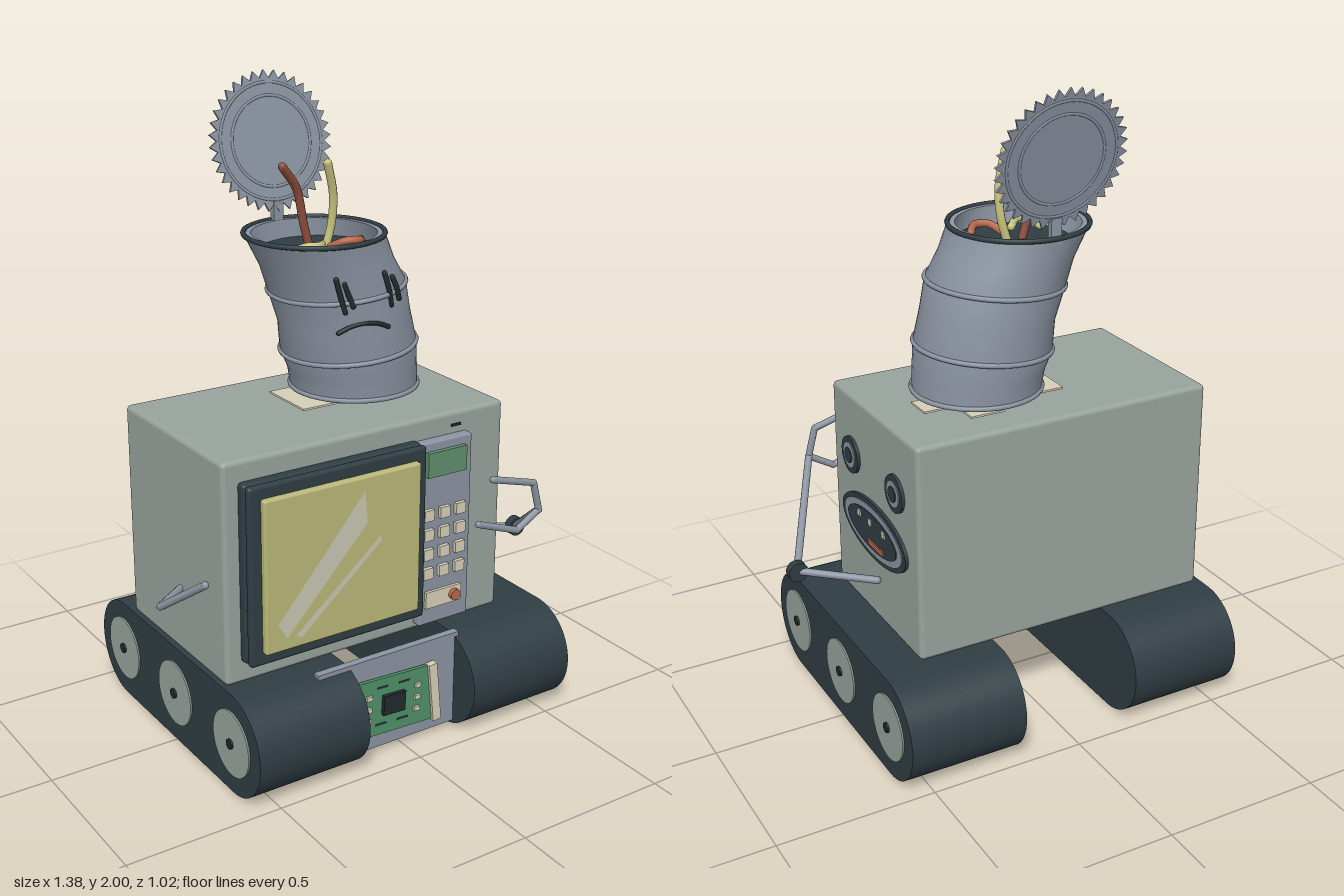
import * as THREE from 'three';
import { toCreasedNormals } from 'three/addons/utils/BufferGeometryUtils.js';
import { RoundedBoxGeometry } from 'three/addons/geometries/RoundedBoxGeometry.js';

const V = (x, y, z) => new THREE.Vector3(x, y, z);
const mat = (color) => new THREE.MeshStandardMaterial({ color });
const M = {
  shell: mat(0x98a39d), dark: mat(0x2f3d43), steel: mat(0x8b94a2), black: mat(0x22282c),
  glass: mat(0xbab878), glare: mat(0xc9c8b4), green: mat(0x5f8f6b), board: mat(0x4f9068),
  beige: mat(0xd6cfb8), red: mat(0xb4674a), wire: mat(0xc9c57e), copper: mat(0x91503c),
};

export function createModel() {
  const root = new THREE.Group();
  const add = (name, geo, m, x = 0, y = 0, z = 0, parent = root) => {
    const mesh = new THREE.Mesh(geo, m);
    mesh.name = name;
    mesh.position.set(x, y, z);
    parent.add(mesh);
    return mesh;
  };
  // Box given by its extents
  const box = (name, m, x0, x1, y0, y1, z0, z1, r = 0) => {
    const s = [x1 - x0, y1 - y0, z1 - z0];
    const g = r ? new RoundedBoxGeometry(...s, 3, r) : new THREE.BoxGeometry(...s);
    return add(name, g, m, (x0 + x1) / 2, (y0 + y1) / 2, (z0 + z1) / 2);
  };
  // Disc facing sideways, stretched to ry by rz
  const sideDisc = (name, m, ry, rz, depth, x, y, z) => {
    const g = new THREE.CylinderGeometry(1, 1, depth, 40).rotateZ(Math.PI / 2).scale(1, ry, rz);
    return add(name, g, m, x, y, z);
  };
  // Straight rods joined by balls
  const rods = (name, pts, r, m) => {
    const g = new THREE.Group();
    g.name = name;
    root.add(g);
    pts.forEach((p, i) => {
      add(name + 'Joint', new THREE.SphereGeometry(r, 12, 8), m, p.x, p.y, p.z, g);
      if (!i) return;
      const d = p.clone().sub(pts[i - 1]), c = p.clone().add(pts[i - 1]).multiplyScalar(0.5);
      const rod = add(name + 'Rod', new THREE.CylinderGeometry(r, r, d.length(), 12), m, c.x, c.y, c.z, g);
      rod.quaternion.setFromUnitVectors(V(0, 1, 0), d.normalize());
    });
  };
  const tube = (name, pts, r, m) => {
    add(name, new THREE.TubeGeometry(new THREE.CatmullRomCurve3(pts), 20, r, 10), m);
    for (const p of [pts[0], pts[pts.length - 1]]) add(name + 'End', new THREE.SphereGeometry(r, 10, 8), m, p.x, p.y, p.z);
  };

  // Oven body, door and window
  box('ovenBody', M.shell, -0.56, 0.44, 0.32, 1.02, -0.3, 0.3, 0.015);
  box('doorBack', M.dark, -0.51, 0.11, 0.39, 0.955, 0.29, 0.328, 0.012);
  box('doorFrame', M.dark, -0.51, 0.11, 0.39, 0.955, 0.332, 0.358, 0.012);
  box('window', M.glass, -0.47, 0.075, 0.43, 0.915, 0.34, 0.378, 0.008);
  const streak = (pts) => add('windowGlare',
    new THREE.ShapeGeometry(new THREE.Shape(pts.map(([x, y]) => new THREE.Vector2(x, y)))), M.glare, 0, 0, 0.38);
  streak([[-0.43, 0.52], [-0.40, 0.47], [-0.12, 0.77], [-0.13, 0.87]].map(([x, y]) => [x, y]));
  streak([[-0.37, 0.47], [-0.35, 0.46], [-0.07, 0.70], [-0.07, 0.72]]);

  // Control panel with keys
  box('controlPanel', M.steel, 0.11, 0.3, 0.34, 0.95, 0.29, 0.33, 0.008);
  box('display', M.green, 0.125, 0.27, 0.84, 0.92, 0.32, 0.345);
  for (let r = 0; r < 4; r++) for (let c = 0; c < 3; c++) {
    const x = 0.135 + c * 0.06, y = 0.715 - r * 0.065;
    box('key', M.beige, x - 0.018, x + 0.018, y - 0.018, y + 0.018, 0.32, 0.343);
  }
  box('startKey', M.beige, 0.13, 0.265, 0.4, 0.455, 0.32, 0.34);
  add('startButton', new THREE.CylinderGeometry(0.018, 0.018, 0.03, 20).rotateX(Math.PI / 2), M.red, 0.235, 0.428, 0.34);
  box('panelSlot', M.black, 0.24, 0.275, 0.972, 0.98, 0.29, 0.304);

  // Tracks: rounded belts with three wheels on the outer side
  const belt = new THREE.Shape();
  belt.moveTo(-0.35, 0);
  belt.lineTo(0.35, 0);
  belt.absarc(0.35, 0.1625, 0.1625, -Math.PI / 2, Math.PI / 2, false);
  belt.lineTo(-0.35, 0.325);
  belt.absarc(-0.35, 0.1625, 0.1625, Math.PI / 2, Math.PI * 1.5, false);
  const beltGeo = toCreasedNormals(
    new THREE.ExtrudeGeometry(belt, { depth: 0.38, bevelEnabled: false, curveSegments: 20 })
      .translate(0, 0, -0.19).rotateY(Math.PI / 2), 0.6);
  for (const s of [-1, 1]) {
    add('track', beltGeo, M.dark, s * 0.385, 0, 0);
    for (const z of [-0.35, 0, 0.35]) {
      sideDisc('wheel', M.shell, 0.105, 0.105, 0.02, s * 0.57, 0.165, z);
      sideDisc('wheelHub', M.black, 0.016, 0.016, 0.03, s * 0.572, 0.165, z);
    }
  }

  // Front plate with circuit board
  box('frontPlate', M.steel, -0.31, 0.21, 0.02, 0.33, 0.38, 0.405);
  const board = new THREE.Group();
  board.name = 'circuitBoard';
  board.position.set(-0.045, 0.17, 0.415);
  board.rotation.z = -0.04;
  root.add(board);
  const onBoard = (name, m, x, y, w, h, d) => add(name, new THREE.BoxGeometry(w, h, d), m, x, y, d / 2, board);
  onBoard('boardBase', M.board, 0, 0, 0.3, 0.19, 0.012);
  onBoard('chip', M.black, -0.01, 0.005, 0.08, 0.065, 0.025);
  for (const x of [-0.1, 0.08]) for (const y of [-0.04, 0, 0.04]) onBoard('boardPart', M.beige, x, y, 0.02, 0.014, 0.02);
  for (const y of [-0.06, 0.065]) for (const x of [-0.05, 0.03]) onBoard('boardTrace', M.dark, x, y, 0.04, 0.006, 0.014);
  onBoard('boardSlot', M.beige, 0.145, 0, 0.03, 0.2, 0.022).rotation.z = 0.14;

  // Face on the side of the oven
  for (const z of [-0.155, 0.16]) {
    sideDisc('eyeRim', M.dark, 0.06, 0.06, 0.02, 0.44, 0.82, z);
    sideDisc('eyeRing', M.steel, 0.042, 0.042, 0.024, 0.441, 0.82, z);
    sideDisc('pupil', M.dark, 0.025, 0.025, 0.028, 0.442, 0.82, z);
  }
  sideDisc('mouthRim', M.dark, 0.095, 0.23, 0.02, 0.44, 0.625, 0);
  sideDisc('lips', M.steel, 0.08, 0.208, 0.024, 0.441, 0.625, 0);
  sideDisc('mouth', M.dark, 0.06, 0.175, 0.028, 0.442, 0.625, 0);
  for (const z of [0.085, 0.005, -0.09]) box('tooth', M.beige, 0.44, 0.46, 0.645, 0.665, z - 0.01, z + 0.01);
  box('tongue', M.red, 0.44, 0.46, 0.578, 0.595, -0.085, 0.02);

  // Arms
  rods('leftArm', [V(0.45, 0.465, -0.02), V(0.655, 0.48, 0.13), V(0.47, 0.7, 0.455)], 0.012, M.steel);
  rods('leftClaw', [V(0.285, 0.84, 0.455), V(0.445, 0.795, 0.455), V(0.47, 0.7, 0.455), V(0.385, 0.65, 0.455), V(0.235, 0.705, 0.455)], 0.011, M.steel);
  add('leftElbow', new THREE.CylinderGeometry(0.032, 0.032, 0.028, 24).rotateX(Math.PI / 2), M.dark, 0.655, 0.48, 0.128);
  rods('rightArm', [V(-0.55, 0.53, 0.02), V(-0.68, 0.545, 0.13), V(-0.625, 0.67, 0.305)], 0.012, M.steel);

  // Bent barrel: slanted circles [centre x, y, radius, rise to one side]
  const rings = [
    [0.1, 1.055, 0, 0], [0.1, 1.055, 0.2, 0], [0.093, 1.12, 0.203, 0.008], [0.078, 1.185, 0.212, 0.018],
    [0.062, 1.28, 0.205, 0.018], [0.035, 1.38, 0.212, 0.016], [-0.002, 1.46, 0.205, 0.008],
    [-0.045, 1.55, 0.213, 0], [-0.045, 1.55, 0.19, 0], [-0.025, 1.49, 0.185, 0], [-0.025, 1.49, 0, 0],
  ];
  const N = 48, pos = [], idx = [], cz = -0.025;
  rings.forEach(([cx, y, r, t], i) => {
    for (let j = 0; j <= N; j++) {
      const a = (j / N) * Math.PI * 2;
      pos.push(cx + r * Math.cos(a), y + t * Math.cos(a), cz + r * Math.sin(a));
      if (i && j) {
        const p = i * (N + 1) + j, q = p - N - 1;
        idx.push(q - 1, p - 1, q, p - 1, p, q);
      }
    }
  });
  const barrel = new THREE.BufferGeometry();
  barrel.setAttribute('position', new THREE.Float32BufferAttribute(pos, 3));
  barrel.setIndex(idx);
  add('barrel', toCreasedNormals(barrel, 0.6), M.steel);
  for (const i of [1, 3, 5, 7]) {
    const [cx, y, r, t] = rings[i];
    const hoop = add('barrelHoop', new THREE.TorusGeometry(r, 0.008, 8, N).rotateX(Math.PI / 2), i === 7 ? M.dark : M.steel, cx, y, cz);
    hoop.rotation.z = Math.atan2(t, r);
  }
  add('barrelInside', new THREE.CircleGeometry(0.182, N).rotateX(-Math.PI / 2), M.dark, -0.025, 1.494, cz);

  // Sad face drawn on the barrel
  for (const x of [-0.065, 0.1]) for (const [dx, h] of [[-0.014, 0.05], [0.014, 0.035]]) {
    tube('barrelEye', [V(x + dx - 0.012, 1.4 + h, x < 0 ? 0.165 : 0.175), V(x + dx, 1.4, x < 0 ? 0.17 : 0.182), V(x + dx + 0.012, 1.4 - h, 0.178)], 0.008, M.black);
  }
  tube('barrelMouth', [V(-0.07, 1.28, 0.146), V(-0.03, 1.3, 0.162), V(0.01, 1.306, 0.175), V(0.05, 1.3, 0.182), V(0.085, 1.285, 0.182)], 0.007, M.black);

  // Toothed lid standing on its hinge
  const teeth = new THREE.Shape(Array.from({ length: 72 }, (_, i) => {
    const a = (i / 72) * Math.PI * 2, r = i % 2 ? 0.19 : 0.215;
    return new THREE.Vector2(r * Math.cos(a), r * Math.sin(a));
  }));
  const lid = new THREE.Group();
  lid.name = 'lid';
  lid.position.set(-0.05, 1.788, -0.26);
  lid.rotation.x = -0.21;
  root.add(lid);
  add('lidPlate', new THREE.ExtrudeGeometry(teeth, { depth: 0.008, bevelEnabled: false }), M.steel, 0, 0, -0.004, lid);
  for (const r of [0.178, 0.138]) add('lidRidge', new THREE.TorusGeometry(r, 0.006, 8, 48), M.steel, 0, 0, 0, lid);
  box('lidHinge', M.steel, -0.07, -0.035, 1.53, 1.61, -0.235, -0.215);

  // Loose wires
  tube('redWire', [V(-0.06, 1.49, -0.02), V(-0.085, 1.58, -0.02), V(-0.115, 1.69, -0.01), V(-0.175, 1.765, 0.01)], 0.013, M.copper);
  tube('yellowWire', [V(-0.01, 1.49, -0.02), V(0.01, 1.57, -0.015), V(0.01, 1.66, -0.005), V(-0.02, 1.76, 0.012)], 0.013, M.wire);
  tube('yellowLoop', [V(-0.145, 1.51, 0.02), V(-0.125, 1.53, 0.055), V(-0.09, 1.53, 0.065), V(-0.045, 1.52, 0.02)], 0.012, M.wire);
  tube('redLoop', [V(-0.015, 1.51, 0.02), V(0.015, 1.53, 0.055), V(0.055, 1.53, 0.065), V(0.09, 1.52, 0.025)], 0.012, M.red);

  // Scraps under the barrel
  box('scrap', M.beige, -0.145, 0.005, 1.028, 1.034, -0.13, 0.07);
  box('scrap', M.beige, 0.125, 0.315, 1.028, 1.034, -0.1, -0.01);
  box('scrap', M.beige, 0.1, 0.21, 1.028, 1.034, -0.2, -0.1);
  return root;
}
